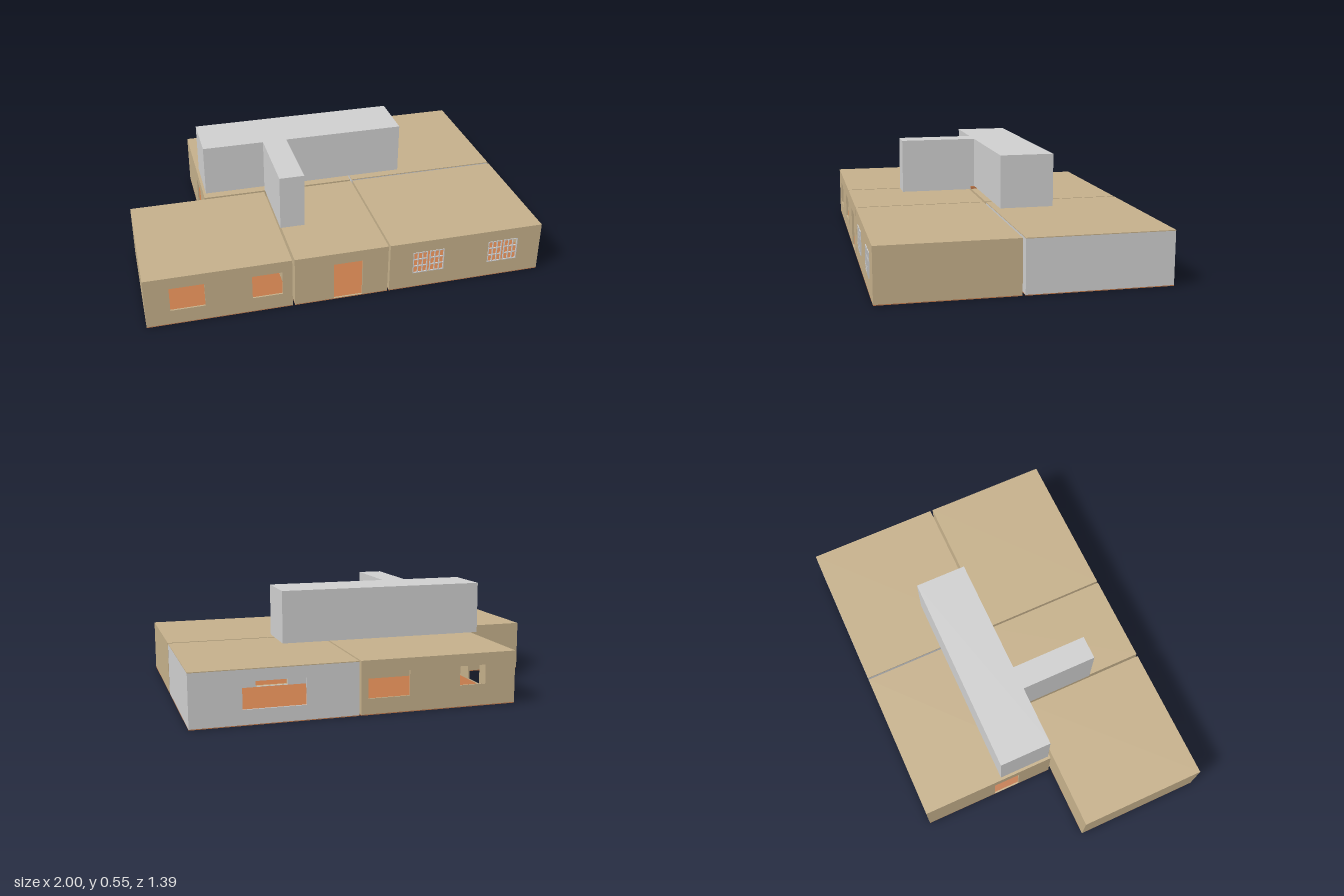
import * as THREE from 'three';

const mat = (name, color) => Object.assign(new THREE.MeshStandardMaterial({ color }), { name });
const tan = mat('tan plaster', 0xc4af8a);
const grey = mat('light grey', 0xcecece);
const orange = mat('orange floor', 0xc0784a);

const T = 0.008;      // wall thickness
const FLOOR = 0.004;  // floor thickness
const H = 0.265;      // storey height
const ROOF = 0.004;   // roof thickness

function box(name, m, x0, x1, y0, y1, z0, z1) {
  const mesh = new THREE.Mesh(new THREE.BoxGeometry(x1 - x0, y1 - y0, z1 - z0), m);
  mesh.position.set((x0 + x1) / 2, (y0 + y1) / 2, (z0 + z1) / 2);
  mesh.name = name;
  return mesh;
}

// Upright panel with rectangular openings [from, to, bottom, top].
// axis 'x': runs along x, starts at depth z = at; axis 'z': runs along z, starts at x = at.
function panel(name, m, axis, a, b, y0, y1, at, depth, openings = []) {
  const s = axis === 'x' ? 1 : -1;
  const rect = (P, u0, u1, v0, v1) => {
    const p = new P();
    p.moveTo(u0, v0);
    p.lineTo(u1, v0);
    p.lineTo(u1, v1);
    p.lineTo(u0, v1);
    p.closePath();
    return p;
  };
  const span = (u, v) => [Math.min(s * u, s * v), Math.max(s * u, s * v)];
  const shape = rect(THREE.Shape, ...span(a, b), y0, y1);
  for (const [u, v, lo, hi] of openings) shape.holes.push(rect(THREE.Path, ...span(u, v), lo, hi));
  const geo = new THREE.ExtrudeGeometry(shape, { depth, bevelEnabled: false });
  if (axis === 'z') geo.rotateY(Math.PI / 2);
  geo.translate(axis === 'z' ? at : 0, 0, axis === 'x' ? at : 0);
  const mesh = new THREE.Mesh(geo, m);
  mesh.name = name;
  return mesh;
}

// Hollow room: floor, roof and four pierced walls
function room({ name, m = tan, x, z, front, back, left, right }) {
  const g = new THREE.Group();
  g.name = name;
  const [x0, x1] = x, [z0, z1] = z, top = H - ROOF;
  g.add(
    box('floor', orange, x0, x1, 0, FLOOR, z0, z1),
    box('roof', tan, x0, x1, top, H, z0, z1),
    panel('frontWall', m, 'x', x0, x1, FLOOR, top, z1 - T, T, front),
    panel('backWall', m, 'x', x0, x1, FLOOR, top, z0, T, back),
    panel('leftWall', m, 'z', z0 + T, z1 - T, FLOOR, top, x1 - T, T, left),
    panel('rightWall', m, 'z', z0 + T, z1 - T, FLOOR, top, x0, T, right)
  );
  return g;
}

// Barred window made of two sashes
function barredWindow(x0, x1, y0, y1, z) {
  const g = new THREE.Group();
  g.name = 'barredWindow';
  const w = (x1 - x0 - 0.012) / 2, t = 0.004;
  for (const sx of [x0, x1 - w]) {
    for (let i = 0; i <= 3; i++) {
      const bx = sx + (w - t) * i / 3, by = y0 + (y1 - y0 - t) * i / 3;
      g.add(box('uprightBar', grey, bx, bx + t, y0, y1, z - 0.004, z + 0.004));
      g.add(box('crossBar', grey, sx, sx + w, by, by + t, z - 0.003, z + 0.003));
    }
  }
  return g;
}

export function createModel() {
  const model = new THREE.Group();
  model.name = 'house';
  const D = 0.006, TOP = 0.205; // door sill and opening head
  const backZ = [-0.695, 0.012], frontZ = [0.026, 0.69];
  const doorA = [-0.56, -0.415, D, TOP], doorB = [-0.035, 0.11, D, TOP], doorC = [0.375, 0.55, D, TOP];
  const sideFront = [0.28, 0.645, D, TOP], sideBack = [-0.61, -0.2, D, TOP], sideHall = [0.3, 0.44, D, TOP];
  const panes = [[0.32, 0.482, 0.085, TOP], [0.718, 0.875, 0.085, TOP]];

  // Five rooms
  model.add(
    room({ name: 'frontWestRoom', x: [-1, -0.292], z: frontZ,
      front: [[-0.882, -0.715, 0.08, TOP], [-0.488, -0.34, 0.08, TOP]], back: [doorA], left: [sideHall] }),
    room({ name: 'entranceRoom', x: [-0.28, 0.19], z: frontZ,
      front: [[-0.085, 0.06, D, TOP]], back: [doorB], left: [sideFront], right: [sideHall] }),
    room({ name: 'frontEastRoom', x: [0.2, 1], z: frontZ,
      front: panes, back: [doorC], right: [sideFront] }),
    room({ name: 'backWestRoom', x: [-0.61, 0.19], z: backZ,
      front: [doorA, doorB], back: [[-0.055, 0.155, 0.08, TOP], [-0.45, -0.315, 0.11, TOP]],
      left: [sideBack], right: [[-0.31, -0.17, D, TOP]] }),
    room({ name: 'backEastRoom', m: grey, x: [0.2, 1], z: backZ,
      front: [doorC], back: [[0.455, 0.755, 0.075, TOP]], right: [sideBack] })
  );
  for (const [a, b, lo, hi] of panes) model.add(barredWindow(a, b, lo, hi, 0.69));

  // Linings that bridge the gaps between rooms at each doorway
  const lining = (axis, o, at, depth) => {
    model.add(panel('doorLining', tan, axis, o[0] - 0.006, o[1] + 0.006, 0.002, TOP + 0.008, at, depth, [o]));
  };
  for (const o of [doorA, doorB, doorC]) lining('x', o, 0.012, 0.014);
  for (const o of [sideFront, sideBack]) lining('z', o, 0.19, 0.01);
  lining('z', sideHall, -0.292, 0.012);

  // T-shaped upper corridor
  model.add(
    box('upperCorridor', grey, -0.6, 0.465, 0.285, 0.55, -0.27, 0),
    box('upperCorridorStem', grey, -0.285, -0.16, 0.267, 0.55, 0, 0.4),
    box('corridorThreshold', orange, -0.28, -0.15, 0.27, 0.284, -0.016, 0.02)
  );
  return model;
}
